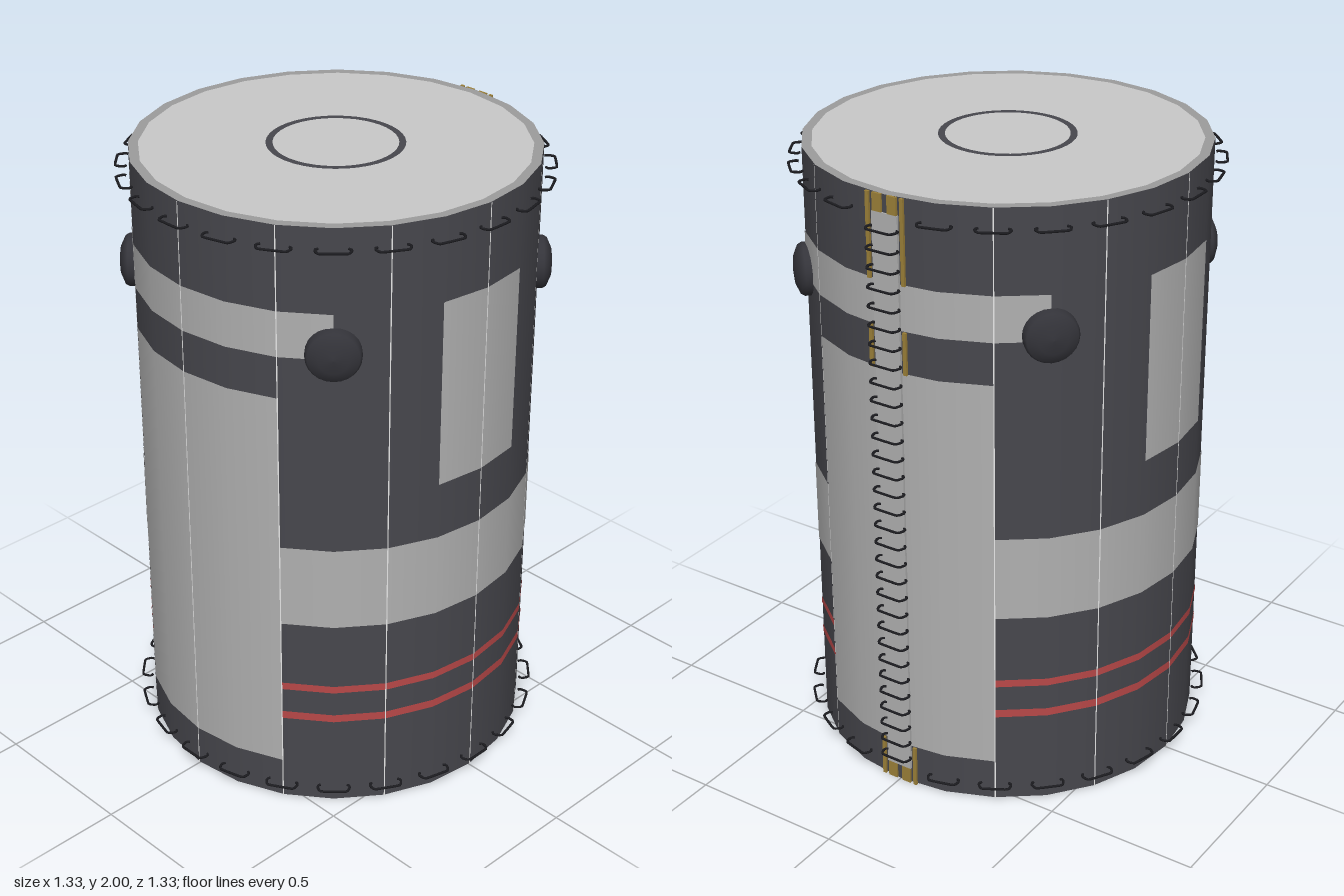
import * as THREE from 'three';

const R = 0.624, H = 2, STEP = Math.PI / 12;
const DEG = Math.PI / 180;

function mat(name, color) {
  const m = new THREE.MeshStandardMaterial({ color });
  m.name = name;
  return m;
}

export function createModel() {
  const group = new THREE.Group();
  const dark = mat('charcoal', 0x47474d);
  const grey = mat('panelGrey', 0xb0b0b0);
  const light = mat('lidGrey', 0xc8c8c8);
  const rim = mat('rimGrey', 0x9c9c9c);
  const red = mat('stripeRed', 0xb84848);
  const black = mat('threadBlack', 0x1c1c20);
  const knob = mat('studBlack', 0x34343a);
  const gold = mat('gold', 0x9c8038);
  const white = mat('seamWhite', 0xf4f4f4);

  const add = (name, geo, material, parent = group) => {
    const mesh = new THREE.Mesh(geo, material);
    mesh.name = name;
    parent.add(mesh);
    return mesh;
  };

  // Curved plate hugging the wall; angles in degrees from the front
  const patch = (name, a0, a1, y0, y1, material, lift = 0.002) => {
    const segs = Math.max(1, Math.round((a1 - a0) / 15));
    const geo = new THREE.CylinderGeometry(R + lift, R + lift, y1 - y0, segs, 1, true, a0 * DEG, (a1 - a0) * DEG);
    return add(name, geo.translate(0, (y0 + y1) / 2, 0), material);
  };

  // Wall
  patch('wall', 0, 360, 0, H, dark, 0);

  // Lid and base: disc, outer rim and inner circle
  for (const top of [true, false]) {
    const end = new THREE.Group();
    end.name = top ? 'lid' : 'base';
    end.rotation.x = top ? -Math.PI / 2 : Math.PI / 2;
    end.position.y = top ? H : 0;
    add('disc', new THREE.CircleGeometry(R - 0.03, 24, Math.PI / 2), light, end);
    add('rim', new THREE.RingGeometry(R - 0.03, R, 24, 1, Math.PI / 2), top ? rim : light, end);
    add('circle', new THREE.RingGeometry(0.19, 0.211, 40), dark, end).position.z = 0.002;
    group.add(end);
  }

  // Front and back panels with the strip above them
  for (const a of [0, 180]) {
    patch('panel', a - 30, a + 30, 0.14, 1.455, grey);
    patch('upperStrip', a - 45, a + 45, 1.59, 1.735, grey);
  }

  // Side windows, wide bands and red stripes
  for (const a of [90, 270]) {
    patch('window', a - 15, a + 15, 1.13, 1.735, grey);
    patch('band', a - 60, a + 60, 0.668, 0.945, grey);
    patch('stripe', a - 60, a + 60, 0.42, 0.445, red);
    patch('stripe', a - 60, a + 60, 0.308, 0.335, red);
  }

  // Vertical seams between the wall panels
  for (let a = 0; a < 360; a += 30) {
    if (a !== 180) patch('seam', a - 0.17, a + 0.17, 0, H, white, 0.003);
  }

  // Four domed studs
  const studProfile = [[0.083, -0.03], [0.083, 0.012], [0.076, 0.024], [0.045, 0.038], [0, 0.043]]
    .map(([x, y]) => new THREE.Vector2(x, y));
  const studGeo = new THREE.LatheGeometry(studProfile, 24).rotateX(Math.PI / 2);
  for (let i = 0; i < 4; i++) {
    const a = (45 + i * 90) * DEG;
    const stud = add('stud', studGeo, knob);
    stud.position.set(Math.sin(a) * R, 1.61, Math.cos(a) * R);
    stud.rotation.y = a;
  }

  // Thread loop standing out from the wall
  const loop = new THREE.CatmullRomCurve3([
    [-0.043, 0.004], [-0.052, 0.012], [-0.045, 0.034], [-0.034, 0.038],
    [0.034, 0.038], [0.045, 0.034], [0.052, 0.012], [0.043, 0.004],
  ].map(([x, z]) => new THREE.Vector3(x, 0, z)), false, 'catmullrom', 0.3);
  const loopGeo = new THREE.TubeGeometry(loop, 20, 0.0042, 6);
  const stitch = (a, y) => {
    const s = add('stitch', loopGeo, black);
    s.position.set(Math.sin(a) * R, y, Math.cos(a) * R);
    s.rotation.y = a;
  };

  // Stitch rings near both ends, open at the back
  for (let i = 0; i < 24; i++) {
    if (i === 12) continue;
    stitch(i * STEP, 1.94);
    stitch(i * STEP, 0.06);
  }

  // Laced closure down the back
  for (let i = 0; i < 31; i++) stitch(Math.PI, 0.1 + i * 0.06);
  const tape = (name, x, w, y0, y1, material) => {
    const geo = new THREE.BoxGeometry(w, y1 - y0, 0.008);
    add(name, geo, material).position.set(x, (y0 + y1) / 2, -R - 0.001);
  };
  tape('backTape', 0, 0.09, 0.055, 1.945, grey);
  for (const s of [-1, 1]) {
    for (const [y0, y1] of [[0, 0.14], [1.455, 1.59], [1.735, 2]]) tape('goldEdge', s * 0.06, 0.012, y0, y1, gold);
    for (const y of [0, 1.945]) tape('goldEnd', s * 0.026, 0.032, y, y + 0.055, gold);
  }

  return group;
}
